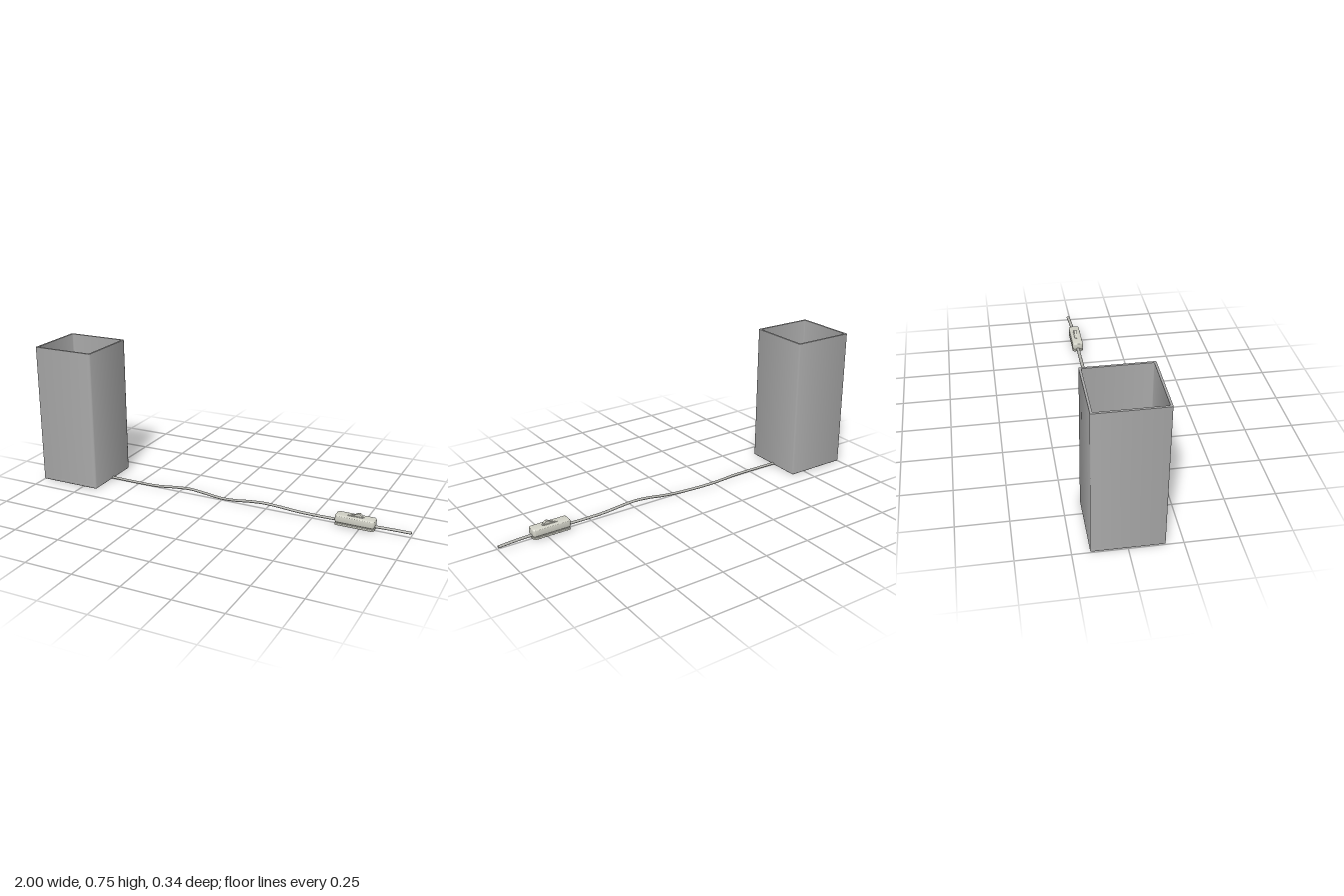
import * as THREE from 'three';
import { toCreasedNormals } from 'three/addons/utils/BufferGeometryUtils.js';

const mat = (name, color) => new THREE.MeshStandardMaterial({ name, color });

// Rounded rectangle centred on the origin
function roundRect(w, d, r, Type = THREE.Shape) {
  const s = new Type(), x = w / 2, y = d / 2;
  s.moveTo(x, y - r);
  s.absarc(x - r, y - r, r, 0, Math.PI / 2);
  s.absarc(r - x, y - r, r, Math.PI / 2, Math.PI);
  s.absarc(r - x, r - y, r, Math.PI, Math.PI * 1.5);
  s.absarc(x - r, r - y, r, Math.PI * 1.5, Math.PI * 2);
  s.closePath();
  return s;
}

// Extrude a plan shape upward from y0 to y1, optionally with rounded edges
function raise(shape, y0, y1, bevel = 0) {
  const g = new THREE.ExtrudeGeometry(shape, {
    depth: y1 - y0 - 2 * bevel, bevelEnabled: bevel > 0, bevelSize: bevel,
    bevelOffset: -bevel, bevelThickness: bevel, bevelSegments: 3, curveSegments: 8,
  });
  g.rotateX(-Math.PI / 2).translate(0, y0 + bevel, 0);
  return toCreasedNormals(g, 0.7);
}

export function createModel() {
  const grey = mat('shade grey', 0xa8a8a8);
  const cream = mat('switch cream', 0xd0d0c5);
  const cordGrey = mat('cord grey', 0xb0b0ab);
  const model = new THREE.Group();
  model.name = 'tableLamp';
  const add = (parent, name, geometry, material, x = 0, y = 0, z = 0) => {
    const m = new THREE.Mesh(geometry, material);
    m.name = name;
    m.position.set(x, y, z);
    parent.add(m);
    return m;
  };

  // Square open-topped shade
  const lamp = new THREE.Group();
  lamp.name = 'lamp';
  lamp.position.x = -0.832;
  model.add(lamp);
  const side = 0.336;
  const wall = roundRect(side, side, 0.007);
  wall.holes.push(roundRect(side - 0.022, side - 0.022, 0.004, THREE.Path));
  add(lamp, 'shadeWalls', raise(wall, 0.008, 0.746), grey);

  // Rounded foot frame around a recessed floor with a round opening
  const foot = roundRect(side, side, 0.007);
  foot.holes.push(roundRect(0.21, 0.21, 0.01, THREE.Path));
  add(lamp, 'footFrame', raise(foot, 0.002, 0.024, 0.005), grey);
  const floor = roundRect(side - 0.02, side - 0.02, 0.004);
  floor.holes.push(new THREE.Path().absarc(0, 0, 0.06, 0, Math.PI * 2));
  add(lamp, 'shadeFloor', raise(floor, 0.018, 0.03), grey);

  // Lamp holder with ribbed ring, and bulb
  add(lamp, 'holderRing', new THREE.CylinderGeometry(0.054, 0.061, 0.02, 40), cream, 0, 0.036);
  for (let i = 0; i < 20; i++) {
    const a = (i / 20) * Math.PI * 2;
    const rib = add(lamp, 'holderRib', new THREE.BoxGeometry(0.008, 0.03, 0.007), cream,
      Math.cos(a) * 0.053, 0.055, Math.sin(a) * 0.053);
    rib.rotation.y = -a;
  }
  add(lamp, 'holder', new THREE.CylinderGeometry(0.042, 0.05, 0.1, 32), cream, 0, 0.09);
  const bulb = [[0.03, 0.13], [0.032, 0.15], [0.042, 0.18], [0.048, 0.21], [0.044, 0.235],
    [0.032, 0.252], [0.016, 0.26], [0, 0.262]].map(([x, y]) => new THREE.Vector2(x, y));
  add(lamp, 'bulb', new THREE.LatheGeometry(bulb, 32), cream);

  // Flat cord: a round tube squashed in height
  const squash = 0.65, r = 0.0095;
  const path = new THREE.CatmullRomCurve3([
    [-0.832, 0.04, 0], [-0.815, 0.013, 0], [-0.77, 0.007, 0], [-0.66, 0.007, 0],
    [-0.5, 0.007, 0.002], [-0.38, 0.008, -0.001], [-0.29, 0.012, -0.016], [-0.2, 0.015, -0.025],
    [-0.11, 0.012, -0.017], [0, 0.009, -0.002], [0.08, 0.015, 0.003], [0.16, 0.026, 0.005],
    [0.24, 0.032, 0.005], [0.33, 0.028, 0.003], [0.42, 0.021, 0.001], [0.52, 0.019, 0],
    [0.63, 0.02, 0], [0.82, 0.02, -0.002], [0.91, 0.02, -0.006], [1, 0.018, -0.012],
  ].map(([x, y, z]) => new THREE.Vector3(x, y / squash, z)));
  add(model, 'cord', new THREE.TubeGeometry(path, 200, r, 12).scale(1, squash, 1), cordGrey);
  const end = add(model, 'cordEnd', new THREE.CircleGeometry(r, 12).rotateY(Math.PI / 2)
    .scale(1, squash, 1), cordGrey, 1, 0.018, -0.012);
  end.material = cordGrey;

  // Inline switch: lower and upper shells with a fine seam
  const sw = new THREE.Group();
  sw.name = 'inlineSwitch';
  sw.position.x = 0.725;
  model.add(sw);
  add(sw, 'lowerShell', raise(roundRect(0.2, 0.06, 0.012), 0.003, 0.0135, 0.002), cream);
  add(sw, 'seam', raise(roundRect(0.195, 0.055, 0.011), 0.012, 0.017), cream);
  add(sw, 'upperShell', raise(roundRect(0.2, 0.06, 0.012), 0.0155, 0.057, 0.009), cream);

  // Rocker in a raised slot, tipped up on one side
  const slot = roundRect(0.086, 0.024, 0.012);
  slot.holes.push(roundRect(0.074, 0.016, 0.008, THREE.Path));
  add(sw, 'rockerSlot', raise(slot, 0.055, 0.059), cream);
  const rocker = new THREE.Shape();
  [[-0.036, 0.05], [0.036, 0.05], [0.034, 0.062], [0.022, 0.074], [0.014, 0.074],
    [-0.008, 0.063], [-0.036, 0.059]].forEach(([x, y], i) => (i ? rocker.lineTo(x, y) : rocker.moveTo(x, y)));
  rocker.closePath();
  add(sw, 'rocker', new THREE.ExtrudeGeometry(rocker, { depth: 0.016, bevelEnabled: false })
    .translate(0, 0, -0.008), cream);

  return model;
}
